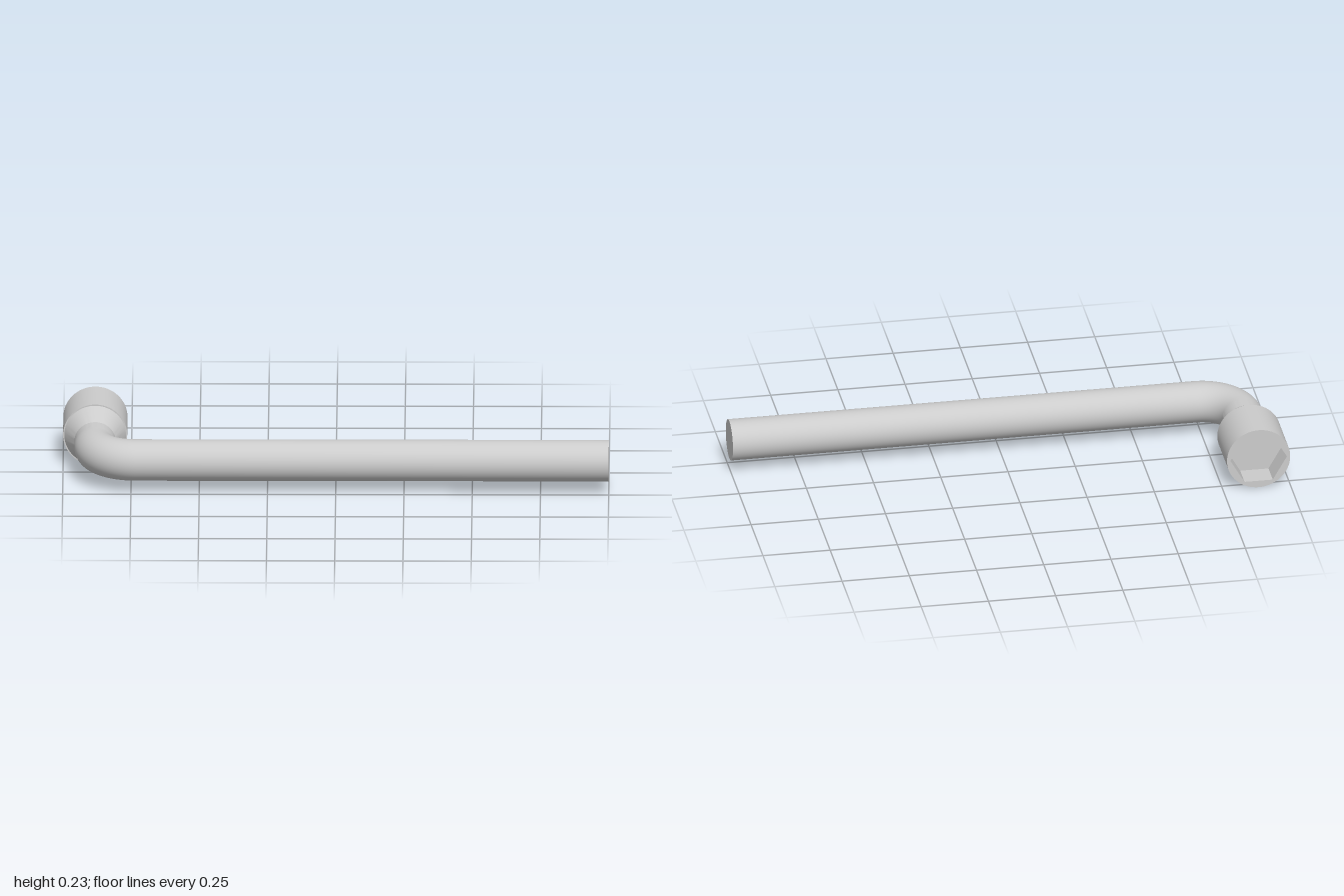
import * as THREE from 'three';
import { toCreasedNormals } from 'three/addons/utils/BufferGeometryUtils.js';

const SIDES = 64;
const ROD_R = 0.076, BEND_R = 0.15, SOCKET_R = 0.1175, HEX_R = 0.105;
const AXIS_Y = 0.1175, SOCKET_X = -0.8825, HANDLE_Z = 0.205;
const CONE_END = 0.077, MOUTH = 0.281, HEX_DEPTH = 0.09;

export function createModel() {
  const group = new THREE.Group();
  const smooth = new THREE.MeshStandardMaterial({ color: 0xcccccc });
  const faceted = new THREE.MeshStandardMaterial({ color: 0xcccccc, flatShading: true });

  const add = (name, geometry, x, z, material = smooth) => {
    const mesh = new THREE.Mesh(geometry, material);
    mesh.name = name;
    mesh.position.set(x, AXIS_Y, z);
    group.add(mesh);
  };
  // Lathe around an axis that points to the back; profile pairs are [radius, distance]
  const turned = (profile, sides) => new THREE.LatheGeometry(
    profile.map(([r, d]) => new THREE.Vector2(r, d)), sides, Math.PI / 2).rotateX(-Math.PI / 2);

  // Long straight handle with a flat end
  const bendX = SOCKET_X + BEND_R, bendZ = HANDLE_Z - BEND_R;
  const length = 1 - bendX;
  add('handle', new THREE.CylinderGeometry(ROD_R, ROD_R, length, SIDES).rotateZ(-Math.PI / 2),
    bendX + length / 2, HANDLE_Z);

  // Quarter-turn bend
  add('bend', new THREE.TorusGeometry(BEND_R, ROD_R, SIDES, 32, Math.PI / 2)
    .rotateZ(Math.PI / 2).rotateX(Math.PI / 2), bendX, bendZ);

  // Short neck, flared cone and socket wall
  const body = turned([[ROD_R, -bendZ], [ROD_R, 0], [0.113, CONE_END],
    [SOCKET_R, CONE_END], [SOCKET_R, MOUTH]], SIDES);
  add('socketBody', toCreasedNormals(body, 0.3), SOCKET_X, 0);

  // Flat rim around the hexagonal mouth
  const rim = new THREE.Shape().absarc(0, 0, SOCKET_R, 0, Math.PI * 2);
  const corners = Array.from({ length: 6 }, (_, i) =>
    new THREE.Vector2(HEX_R * Math.cos(i * Math.PI / 3), HEX_R * Math.sin(i * Math.PI / 3)));
  rim.holes.push(new THREE.Path(corners));
  add('socketRim', new THREE.ShapeGeometry(rim, SIDES).rotateY(Math.PI), SOCKET_X, -MOUTH);

  // Hexagonal recess with its floor
  add('hexRecess', turned([[HEX_R, MOUTH], [HEX_R, MOUTH - HEX_DEPTH], [0, MOUTH - HEX_DEPTH]], 6),
    SOCKET_X, 0, faceted);

  return group;
}
